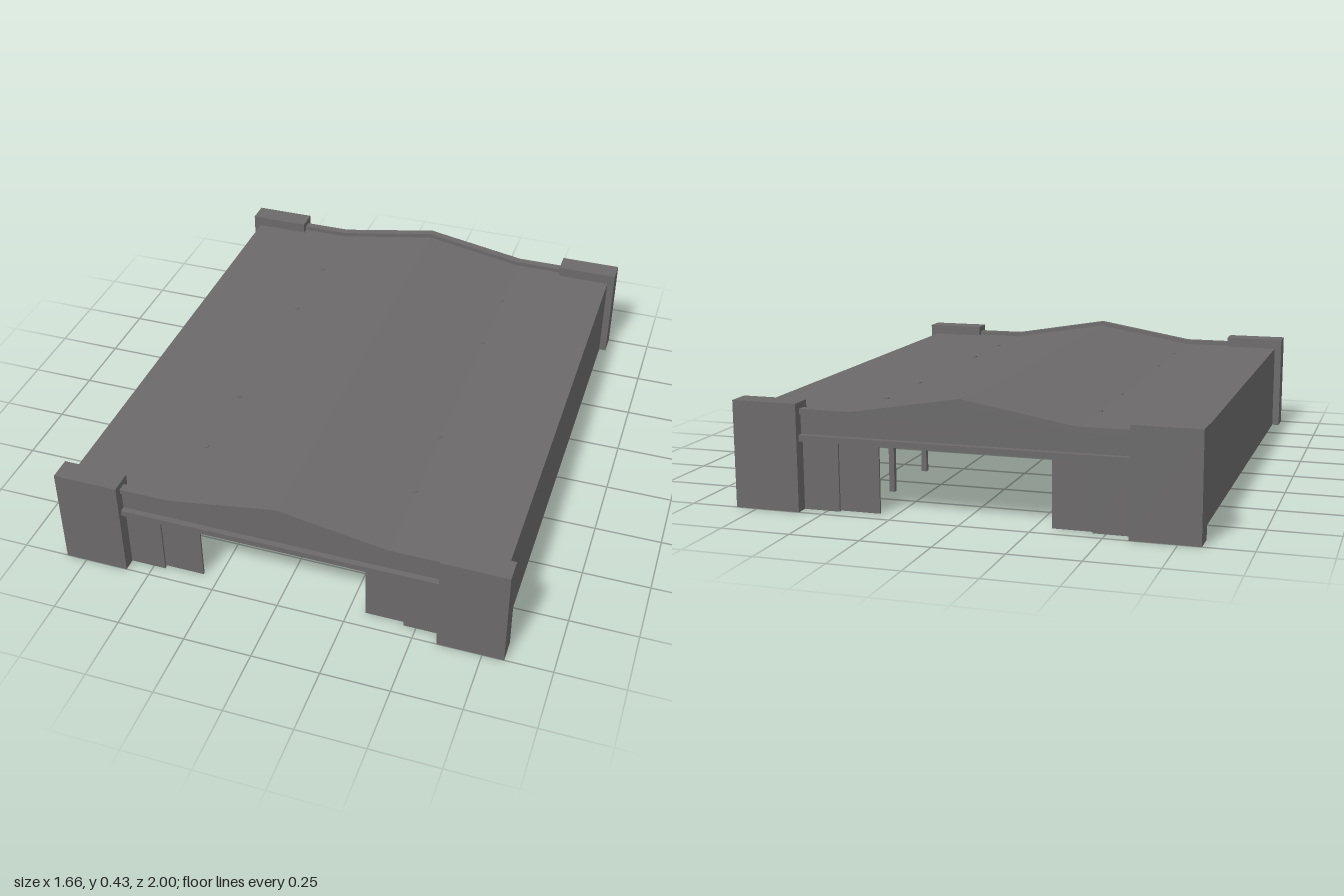
import * as THREE from 'three';

export function createModel() {
  const model = new THREE.Group();
  model.name = 'hangar';
  const steel = new THREE.MeshStandardMaterial({ color: 0x6b6969, side: THREE.DoubleSide });
  steel.name = 'dark grey steel';

  const add = (geo, name, parent = model) => {
    const m = new THREE.Mesh(geo, steel);
    m.name = name;
    parent.add(m);
    return m;
  };
  // box given by its lower and upper limits
  const box = (x0, x1, y0, y1, z0, z1, name, parent) => {
    const m = add(new THREE.BoxGeometry(Math.abs(x1 - x0), y1 - y0, Math.abs(z1 - z0)), name, parent);
    m.position.set((x0 + x1) / 2, (y0 + y1) / 2, (z0 + z1) / 2);
    return m;
  };
  // outline in x/y pushed from z0 to z1
  const slab = (points, z0, z1, name, parent) => {
    const shape = new THREE.Shape(points.map(p => new THREE.Vector2(p[0], p[1])));
    const geo = new THREE.ExtrudeGeometry(shape, { depth: z1 - z0, bevelEnabled: false });
    geo.translate(0, 0, z0);
    return add(geo, name, parent);
  };
  // square bar between two points
  const bar = (a, b, t, name, parent) => {
    const p = new THREE.Vector3(...a), q = new THREE.Vector3(...b);
    const m = add(new THREE.BoxGeometry(t, t, p.distanceTo(q)), name, parent);
    m.position.copy(p).add(q).multiplyScalar(0.5);
    m.lookAt(q);
    return m;
  };
  // a peaked line thickened downwards by t
  const band = (w, eave, ridge, t) => {
    const top = [[-w, eave], [-0.4, eave], [0, ridge], [0.4, eave], [w, eave]];
    return [...top, ...top.map(([x, y]) => [x, y - t]).reverse()];
  };

  // roof sheet and side walls
  slab(band(0.8, 0.345, 0.413, 0.008), -0.94, 0.94, 'roof');
  for (const s of [-1, 1]) box(s * 0.792, s * 0.8, 0, 0.345, -0.93, 0.93, 'sideWall');

  // both ends are the same, turned half round
  for (const turn of [0, Math.PI]) {
    const end = new THREE.Group();
    end.name = turn ? 'backEnd' : 'frontEnd';
    end.rotation.y = turn;
    model.add(end);

    // gable, its coping and the door lintel
    slab([[-0.6, 0.25], [0.6, 0.25], [0.6, 0.343], [0.4, 0.343], [0, 0.413], [-0.4, 0.343], [-0.6, 0.343]],
      0.93, 0.962, 'gable', end);
    slab(band(0.6, 0.362, 0.43, 0.019), 0.94, 0.972, 'gableCoping', end);
    box(-0.6, 0.6, 0.25, 0.272, 0.92, 0.984, 'lintel', end);

    for (const s of [-1, 1]) {
      // corner pier, open underneath
      const pier = new THREE.Group();
      pier.name = 'cornerPier';
      end.add(pier);
      const t = 0.006, [xi, xo] = [s * 0.588, s * 0.828];
      box(xi, xo, 0, 0.385, 1 - t, 1, 'pierFront', pier);
      box(xi, xo, 0, 0.385, 0.915, 0.915 + t, 'pierBack', pier);
      box(xi, xi + s * t, 0, 0.385, 0.915, 1, 'pierInnerSide', pier);
      box(xo - s * t, xo, 0, 0.385, 0.915, 1, 'pierOuterSide', pier);
      box(xi, xo, 0.385 - t, 0.385, 0.915, 1, 'pierTop', pier);

      // staggered sliding door leaves
      box(s * 0.31, s * 0.47, 0, 0.25, 0.928, 0.936, 'innerDoorLeaf', end);
      box(s * 0.455, s * 0.6, 0, 0.25, 0.944, 0.952, 'outerDoorLeaf', end);
    }
  }

  // inner frames: columns, arched trusses and bracing
  const cx = 0.385, chord = [[-cx, 0.285], [-0.2, 0.345], [0, 0.378], [0.2, 0.345], [cx, 0.285]];
  const roofY = x => Math.abs(x) > 0.4 ? 0.337 : 0.405 - 0.17 * Math.abs(x);
  for (const z of [-0.64, -0.32, 0.32, 0.64]) {
    const frame = new THREE.Group();
    frame.name = 'trussFrame';
    model.add(frame);
    for (const s of [-1, 1]) {
      box(s * cx - 0.01, s * cx + 0.01, 0, 0.34, z - 0.01, z + 0.01, 'column', frame);
      box(s * 0.4 - 0.006, s * 0.4 + 0.006, 0.34, 0.35, z - 0.006, z + 0.006, 'roofBolt', frame);
      bar([s * cx, 0.33, z], [0, 0.396, z], 0.012, 'upperChord', frame);
    }
    for (let i = 0; i < 4; i++) {
      bar([...chord[i], z], [...chord[i + 1], z], 0.014, 'lowerChord', frame);
      if (i) bar([...chord[i], z], [chord[i][0], roofY(chord[i][0]), z], 0.008, 'trussPost', frame);
    }
  }
  for (const s of [-1, 1]) {
    // long tie along each row of columns
    bar([s * cx, 0.28, -0.32], [s * cx, 0.28, 0.32], 0.006, 'longTie');
    for (const e of [-1, 1]) {
      const brace = new THREE.Group();
      brace.name = 'columnBracing';
      model.add(brace);
      for (const y of [0.19, 0.285, 0.33])
        bar([s * cx, y, e * 0.32], [s * cx, y, e * 0.64], 0.012, 'crossRail', brace);
      for (const z of [0.4, 0.48, 0.56])
        bar([s * cx, 0.19, e * z], [s * cx, 0.33, e * z], 0.006, 'bracePost', brace);
    }
  }
  return model;
}
